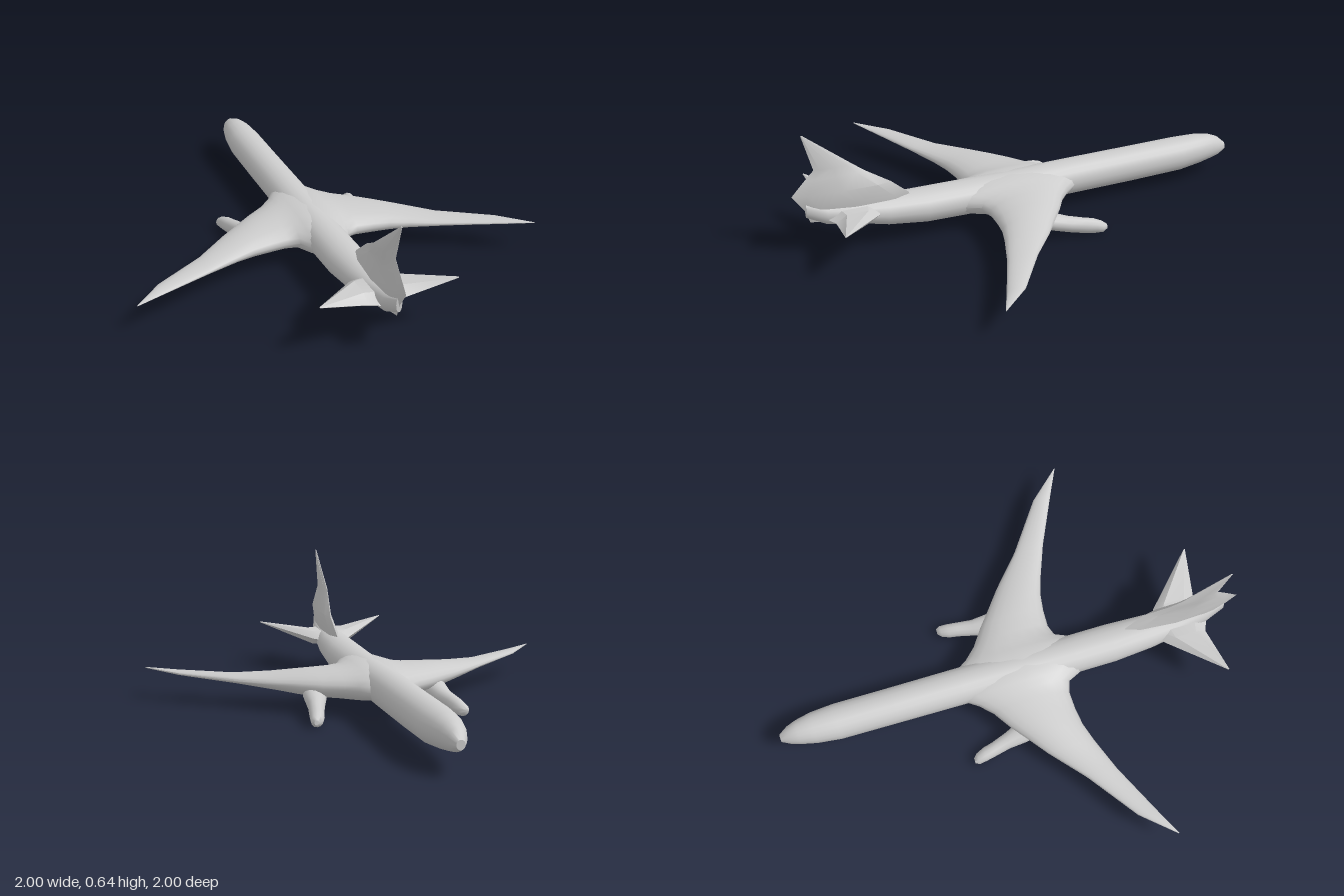
import * as THREE from 'three';
import { mergeVertices, toCreasedNormals } from 'three/addons/utils/BufferGeometryUtils.js';

const material = new THREE.MeshStandardMaterial({ color: 0xcccccc });

// Elliptical ring: u and v are the axis indices that the two half sizes run along.
function ring(centre, u, v, hu, hv, sides) {
  return Array.from({ length: sides }, (_, i) => {
    const a = (i / sides) * Math.PI * 2;
    const p = [...centre];
    p[u] += Math.cos(a) * hu;
    p[v] += Math.sin(a) * hv;
    return p;
  });
}

// Closed skin through rings of equal size, wound so that it faces outward.
function loft(name, rings, crease = 0.8) {
  const n = rings[0].length, pts = rings.flat(), faces = [];
  for (let r = 0; r < rings.length - 1; r++) {
    for (let i = 0; i < n; i++) {
      const a = r * n + i, b = r * n + ((i + 1) % n);
      faces.push([a, b, b + n], [a, b + n, a + n]);
    }
  }
  const last = (rings.length - 1) * n;
  for (let i = 1; i < n - 1; i++) faces.push([0, i + 1, i], [last, last + i, last + i + 1]);
  const v = pts.map(p => new THREE.Vector3(...p));
  const volume = faces.reduce((s, [a, b, c]) => s + v[a].dot(v[b].clone().cross(v[c])), 0);
  if (volume < 0) faces.forEach(f => f.reverse());
  const geo = new THREE.BufferGeometry().setFromPoints(v);
  geo.setIndex(faces.flat());
  const mesh = new THREE.Mesh(toCreasedNormals(mergeVertices(geo, 1e-5), crease), material);
  mesh.name = name;
  return mesh;
}

// Wing-like rings across x: [x, leading z, trailing z, bottom y, top y]
const wingRings = (sections, side, sides) => sections.map(([x, le, te, lo, hi]) =>
  ring([x * side, (lo + hi) / 2, (le + te) / 2], 2, 1, (le - te) / 2, (hi - lo) / 2, sides));

export function createModel() {
  const model = new THREE.Group();
  model.name = 'airliner';

  // Fuselage: [z, half width, bottom y, top y]
  const body = [
    [1.395, 0.02, 0.12, 0.165], [1.35, 0.045, 0.1, 0.205], [1.3, 0.062, 0.09, 0.225],
    [1.22, 0.08, 0.077, 0.238], [1.1, 0.092, 0.062, 0.241], [0.8, 0.093, 0.057, 0.241],
    [0.45, 0.095, 0.057, 0.241], [0.1, 0.1, 0.062, 0.237], [-0.15, 0.1, 0.064, 0.238],
    [-0.35, 0.1, 0.07, 0.241], [-0.55, 0.088, 0.097, 0.246], [-0.7, 0.07, 0.135, 0.25],
    [-0.85, 0.045, 0.157, 0.262], [-0.95, 0.015, 0.21, 0.29],
  ];
  model.add(loft('fuselage', body.map(([z, w, lo, hi]) =>
    ring([0, (lo + hi) / 2, z], 0, 1, w, (hi - lo) / 2, 20))));

  // Wings flow into the fuselage through a blended root, as one skin
  const wing = [
    [0.05, 0.47, -0.24, 0.061, 0.235], [0.09, 0.45, -0.18, 0.062, 0.225],
    [0.13, 0.39, -0.09, 0.063, 0.216], [0.19, 0.33, -0.07, 0.065, 0.208],
    [0.28, 0.27, -0.073, 0.068, 0.2], [0.37, 0.2, -0.085, 0.077, 0.19],
    [0.467, 0.127, -0.115, 0.092, 0.175], [0.64, -0.022, -0.18, 0.111, 0.155],
    [0.9, -0.205, -0.3, 0.135, 0.156], [1.045, -0.364, -0.369, 0.152, 0.157],
  ];
  model.add(loft('wings', [...wingRings(wing, -1, 20).reverse(), ...wingRings(wing, 1, 20)], 1));

  // Tailplane
  const tail = [
    [0, -0.57, -0.87, 0.15, 0.24], [0.095, -0.61, -0.83, 0.16, 0.24],
    [0.345, -0.855, -0.863, 0.261, 0.267],
  ];
  // Engine pods, toed outward: [x, y, z, half width, half height]
  const pod = [
    [0.367, 0.032, 0.488, 0.014, 0.015], [0.362, 0.033, 0.468, 0.03, 0.029],
    [0.352, 0.04, 0.43, 0.036, 0.038], [0.342, 0.047, 0.38, 0.037, 0.041],
    [0.322, 0.062, 0.3, 0.043, 0.042], [0.305, 0.09, 0.21, 0.06, 0.045],
    [0.295, 0.12, 0.11, 0.05, 0.04],
  ];
  for (const [label, side] of [['left', 1], ['right', -1]]) {
    model.add(loft(label + 'Tailplane', wingRings(tail, side, 6), 0.5));
    model.add(loft(label + 'Engine', pod.map(([x, y, z, w, h]) =>
      ring([x * side, y, z], 0, 1, w, h, 12)), 1));
  }

  // Tail fin: [y, leading z, trailing z, half thickness, sideways lean of the leading edge]
  const fin = [
    [0.18, -0.42, -0.93, 0.03, 0], [0.25, -0.43, -0.955, 0.034, -0.02],
    [0.335, -0.525, -1.015, 0.026, -0.03], [0.41, -0.65, -0.945, 0.018, -0.008],
    [0.455, -0.71, -0.9, 0.014, 0], [0.643, -0.942, -0.952, 0.003, 0],
  ];
  model.add(loft('tailFin', fin.map(([y, le, te, t, lean]) => {
    const r = ring([0, y, (le + te) / 2], 2, 0, (le - te) / 2, t, 8);
    r.forEach(p => { p[0] += lean * (p[2] - te) / (le - te); });
    return r;
  }), 0.5));

  // The nose points along the diagonal toward -x and -z
  model.rotation.y = Math.PI * 1.25;
  const root = new THREE.Group();
  root.name = 'airplane';
  root.add(model);
  return root;
}
